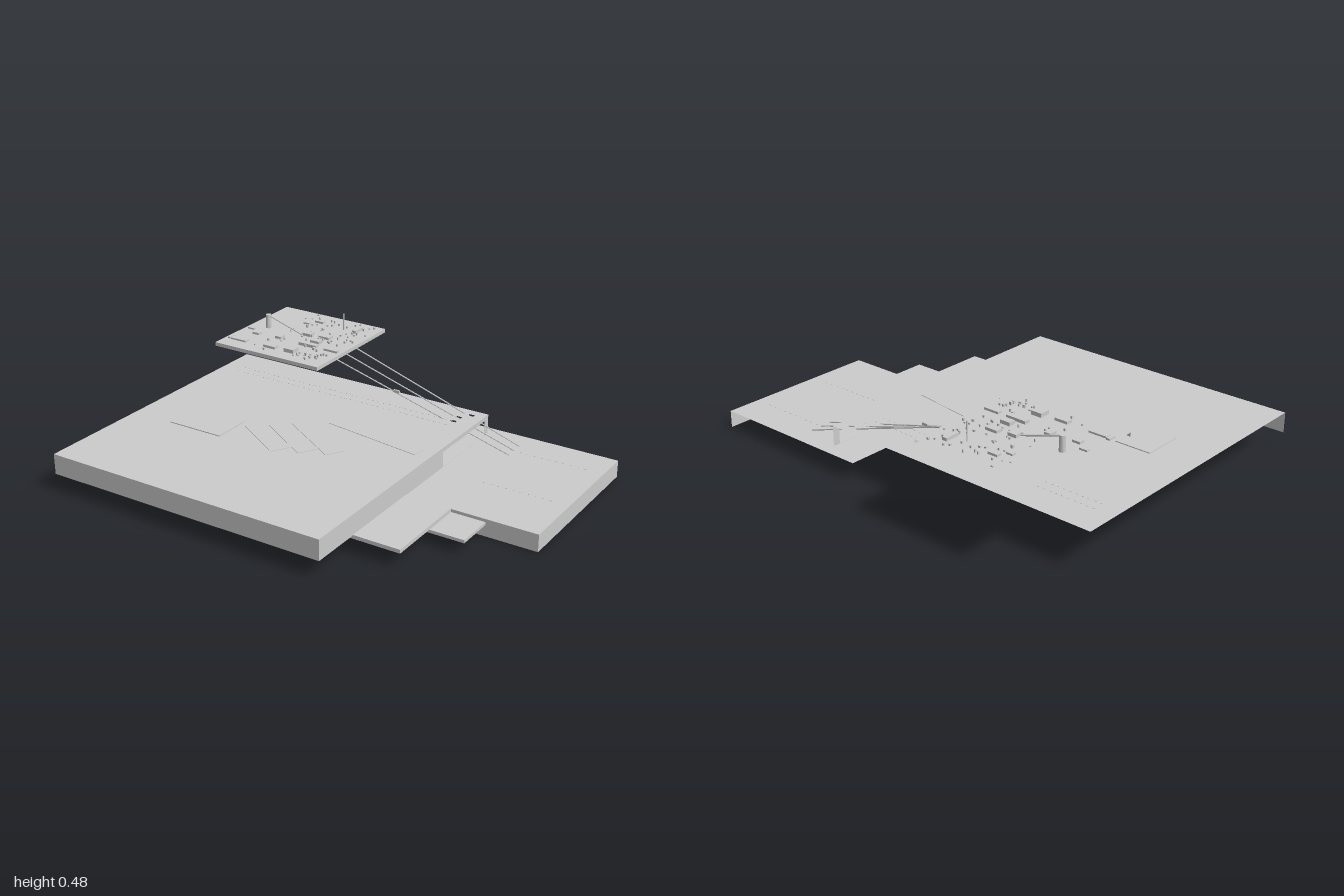
import * as THREE from 'three';

const grey = new THREE.MeshStandardMaterial({ color: 0xcccccc, side: THREE.DoubleSide, flatShading: true });

function add(parent, name, geometry) {
  const mesh = new THREE.Mesh(geometry, grey);
  mesh.name = name;
  parent.add(mesh);
  return mesh;
}

function box(parent, name, x, y, z, w, h, d) {
  const mesh = add(parent, name, new THREE.BoxGeometry(w, h, d));
  mesh.position.set(x, y + h / 2, z);
  return mesh;
}

// Flat rectangle in its own plane, with rectangular holes [u0, u1, v0, v1]
function sheet(u0, u1, v0, v1, holes = []) {
  const rect = (P, a, b, c, d) => new P([[a, c], [b, c], [b, d], [a, d]].map(p => new THREE.Vector2(...p)));
  const shape = rect(THREE.Shape, u0, u1, v0, v1);
  holes.forEach(h => shape.holes.push(rect(THREE.Path, ...h)));
  return new THREE.ShapeGeometry(shape);
}

// Slab open at the bottom, back and right: only top, front wall and left wall
function openSlab(parent, name, [x0, x1], [y0, y1], [z0, z1], topHoles = [], wallHoles = []) {
  const g = new THREE.Group();
  g.name = name;
  parent.add(g);
  add(g, name + 'Top', sheet(x0, x1, -z1, -z0, topHoles).rotateX(-Math.PI / 2).translate(0, y1, 0));
  add(g, name + 'Front', sheet(x0, x1, y0, y1).translate(0, 0, z1));
  add(g, name + 'Side', sheet(-z1, -z0, y0, y1, wallHoles).rotateY(Math.PI / 2).translate(x1, 0, 0));
  return g;
}

function rod(parent, name, from, to, radius, sides = 8) {
  const path = new THREE.LineCurve3(new THREE.Vector3(...from), new THREE.Vector3(...to));
  return add(parent, name, new THREE.TubeGeometry(path, 1, radius, sides));
}

export function createModel() {
  const model = new THREE.Group();
  model.name = 'steppedPlatforms';

  // Main deck with cable slots in its top and a wide opening in its side
  const slots = [[0.32, 0.55], [0.28, 0.5], [0.28, 0.45]];
  openSlab(model, 'mainDeck', [-1, 0.38], [0.08, 0.175], [-0.6, 0.79],
    slots.map(([x, v]) => [x - 0.014, x + 0.014, v - 0.008, v + 0.008]),
    [[0.18, 0.565, 0.081, 0.155]]);

  // Lower deck and two thin stepped plates
  openSlab(model, 'lowerDeck', [0.2, 1], [0, 0.08], [-0.66, 0.14]);
  openSlab(model, 'upperStep', [0.18, 0.6], [0.066, 0.083], [0.13, 0.55]);
  openSlab(model, 'lowerStep', [0.34, 0.76], [0.052, 0.066], [-0.1, 0.32]);

  // Raised platform
  openSlab(model, 'raisedPlatform', [-0.88, -0.295], [0.378, 0.396], [-0.79, -0.2]);
  const top = 0.396;

  // Blocks on the raised platform: x, z, width, depth, height
  const blocks = [
    [-0.8, -0.29, 0.086, 0.032, 0.008], [-0.62, -0.29, 0.064, 0.032, 0.012],
    [-0.51, -0.3, 0.053, 0.048, 0.018], [-0.855, -0.295, 0.016, 0.037, 0.008],
    [-0.78, -0.4, 0.037, 0.027, 0.01], [-0.84, -0.44, 0.037, 0.016, 0.008],
    [-0.655, -0.415, 0.032, 0.037, 0.012], [-0.48, -0.4, 0.096, 0.027, 0.014],
    [-0.35, -0.4, 0.075, 0.021, 0.01], [-0.47, -0.45, 0.048, 0.032, 0.016],
    [-0.56, -0.515, 0.043, 0.032, 0.014], [-0.47, -0.53, 0.059, 0.037, 0.012],
    [-0.61, -0.69, 0.048, 0.021, 0.01], [-0.655, -0.645, 0.032, 0.021, 0.008],
    [-0.39, -0.69, 0.022, 0.07, 0.014],
  ];
  blocks.forEach(([x, z, w, d, h]) => box(model, 'block', x, top, z, w, h, d));

  // Scattered small pieces
  let seed = 7;
  const random = () => (seed = (seed * 16807) % 2147483647) / 2147483647;
  for (let i = 0; i < 80; i++) {
    const x = -0.7 + random() * 0.38, z = -0.77 + random() * 0.54;
    const s = 0.005 + random() * 0.006;
    box(model, 'smallPiece', x, top, z, s, 0.004 + random() * 0.01, s);
  }

  // Tower with its sloping beam, and a thin mast
  const tower = add(model, 'tower', new THREE.CylinderGeometry(0.013, 0.014, 0.068, 16));
  tower.position.set(-0.783, top + 0.034, -0.5);
  rod(model, 'slopingBeam', [-0.775, 0.458, -0.5], [-0.58, 0.398, -0.5], 0.004);
  rod(model, 'mast', [-0.457, top, -0.67], [-0.457, 0.48, -0.67], 0.003);

  // Cables from the platform, through the main deck, down to the lower deck
  [[-0.34, -0.553], [-0.42, -0.5], [-0.5, -0.447]].forEach(([x, z]) =>
    rod(model, 'cable', [x, 0.38, z], [0.57, 0.081, z], 0.003, 6));
  box(model, 'cableClip', -0.02, 0.247, -0.447, 0.03, 0.012, 0.008);

  // Very thin panels lying on the main deck
  const deck = 0.175, thin = 0.002;
  box(model, 'deckPanel', -0.65, deck, 0.165, 0.28, 0.004, 0.19);
  for (let i = 0; i < 3; i++) {
    const panel = box(model, 'slantedPanel', -0.36 + i * 0.11, deck, 0.13 - i * 0.05, 0.36, thin, 0.09);
    panel.rotation.y = -0.55;
  }
  box(model, 'longPanel', 0.07, deck, -0.12, 0.5, thin, 0.07).rotation.y = -0.15;

  // Dotted rows on the main deck and lower deck
  for (let i = 0; i < 40; i++) {
    const x = -0.9 + i * 0.03;
    box(model, 'deckDot', x, deck, -0.45, 0.012, 0.001, 0.004);
    box(model, 'deckDot', x, deck, -0.4, 0.012, 0.001, 0.004);
  }
  for (let i = 0; i < 20; i++) {
    box(model, 'lowerDeckDot', 0.6 + (i % 10) * 0.035, 0.08, i < 10 ? -0.5 : -0.15, 0.012, 0.001, 0.004);
  }
  return model;
}
